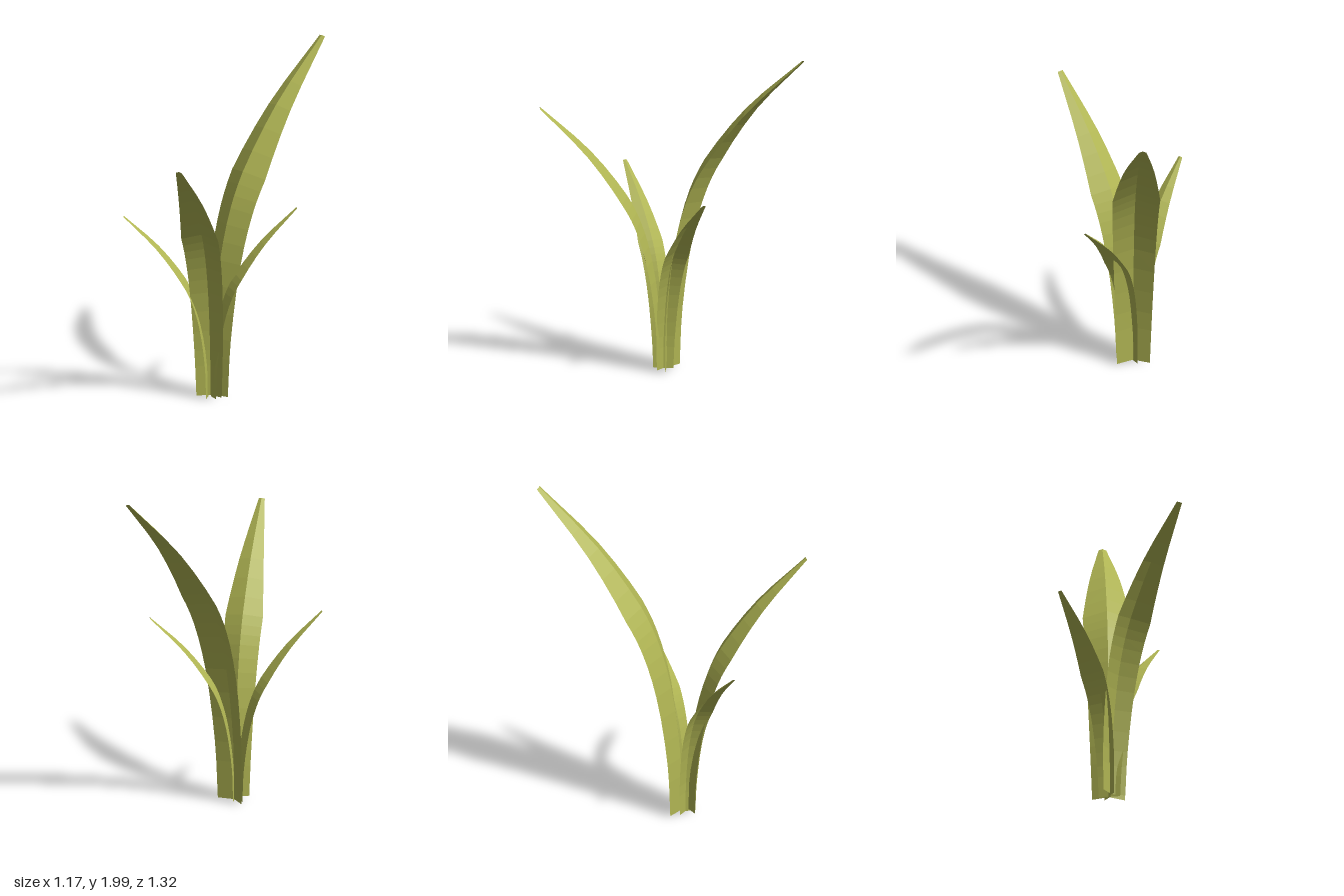
import * as THREE from 'three';

// Shared blade spine: x = outward reach, y = height; the widest ring is the fifth point
const SPINE = new THREE.CatmullRomCurve3([
  [0, 0.01], [0.012, 0.35], [0.075, 0.8], [0.16, 1.09], [0.256, 1.28], [0.5, 1.63], [0.84, 1.985],
].map(([r, y]) => new THREE.Vector3(r, y, 0)));
const STEPS = 18, WIDEST = 12;
const HALF_BASE = 0.094, HALF_WIDE = 0.138, HALF_TIP = 0.022, FOLD = 0.4;

// A folded strip: two edges and a raised midrib, swept along the spine
function bladeGeometry() {
  const pts = SPINE.getPoints(STEPS);
  const wide = pts[WIDEST], tip = pts[STEPS];
  const pos = [], index = [];
  pts.forEach((p, i) => {
    const half = i <= WIDEST
      ? THREE.MathUtils.mapLinear(p.y, pts[0].y, wide.y, HALF_BASE, HALF_WIDE)
      : THREE.MathUtils.mapLinear(p.x, wide.x, tip.x, HALF_WIDE, HALF_TIP);
    const t = SPINE.getTangent(i / STEPS);
    const rise = half * FOLD;
    pos.push(p.x, p.y, -half);
    pos.push(p.x - t.y * rise, p.y + t.x * rise, 0);
    pos.push(p.x, p.y, half);
    if (i < STEPS) {
      for (let k = 0; k < 2; k++) {
        const a = i * 3 + k, b = a + 1, c = a + 3, d = a + 4;
        index.push(a, b, d, a, d, c);
      }
    }
  });
  const g = new THREE.BufferGeometry();
  g.setAttribute('position', new THREE.Float32BufferAttribute(pos, 3));
  g.setIndex(index);
  g.computeVertexNormals();
  return g;
}

export function createModel() {
  const group = new THREE.Group();
  group.name = 'grassTuft';
  const material = new THREE.MeshStandardMaterial({
    color: 0xb0b553, flatShading: true, side: THREE.DoubleSide,
  });
  const geometry = bladeGeometry();

  // name, base position, outward direction (x, z), scale
  const blades = [
    ['tallBackBlade', [-0.035, 0, -0.078], [0.62, -0.567], 1],
    ['frontBlade', [-0.08, 0.01, 0.005], [-0.278, 0.96], 0.8],
    ['rightBlade', [-0.103, 0, -0.037], [-0.497, 0.049], 0.563],
    ['leftBlade', [-0.047, 0, -0.038], [0.993, -0.12], 0.568],
  ];
  for (const [name, base, [dx, dz], scale] of blades) {
    const blade = new THREE.Mesh(geometry, material);
    blade.name = name;
    blade.position.set(...base);
    blade.rotation.y = Math.atan2(-dz, dx);
    blade.scale.setScalar(scale);
    group.add(blade);
  }
  return group;
}
